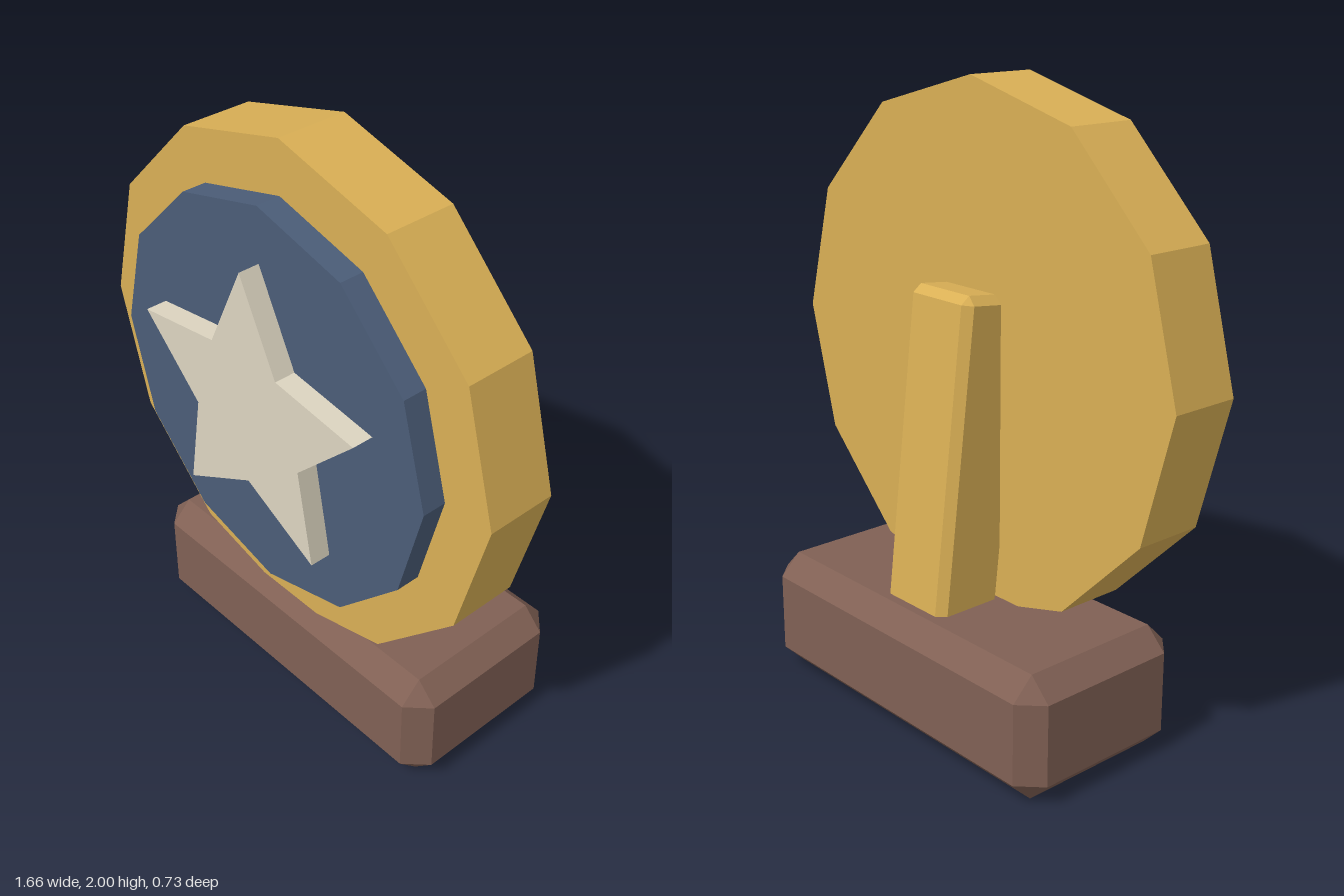
import * as THREE from 'three';
import { ConvexGeometry } from 'three/addons/geometries/ConvexGeometry.js';

const material = (name, color) => {
  const m = new THREE.MeshStandardMaterial({ color, flatShading: true });
  m.name = name;
  return m;
};

// Box with 45 degree chamfers on every edge and cut corners
function chamferBox(w, h, d, c) {
  const half = [w / 2, h / 2, d / 2];
  const points = [];
  for (const sx of [-1, 1]) for (const sy of [-1, 1]) for (const sz of [-1, 1]) {
    const signs = [sx, sy, sz];
    for (let axis = 0; axis < 3; axis++) {
      const p = half.map((v, i) => signs[i] * (i === axis ? v : v - c));
      points.push(new THREE.Vector3(...p));
    }
  }
  return new ConvexGeometry(points);
}

// Twelve-sided disc facing +z, spanning z0 to z1
function disc(radius, z0, z1) {
  const g = new THREE.CylinderGeometry(radius, radius, z1 - z0, 12);
  g.rotateX(Math.PI / 2);
  g.translate(0, 0, (z0 + z1) / 2);
  return g;
}

function starShape(outer, inner) {
  const points = [];
  for (let i = 0; i < 10; i++) {
    const a = Math.PI / 2 + (i * Math.PI) / 5;
    const r = i % 2 ? inner : outer;
    points.push(new THREE.Vector2(r * Math.cos(a), r * Math.sin(a)));
  }
  return new THREE.Shape(points);
}

export function createModel() {
  const gold = material('gold', 0xd9af55);
  const blue = material('slate blue', 0x4b5d78);
  const cream = material('cream', 0xdcd4c0);
  const wood = material('dark wood', 0x806054);

  const group = new THREE.Group();
  group.name = 'starTrophy';
  const add = (name, geometry, mat, x, y, z) => {
    const mesh = new THREE.Mesh(geometry, mat);
    mesh.name = name;
    mesh.position.set(x, y, z);
    group.add(mesh);
    return mesh;
  };

  // Plinth
  add('base', chamferBox(1.285, 0.4, 0.62, 0.07), wood, 0, 0.2, -0.05);

  // Medallion layers
  const cy = 1.17;
  add('medallionRim', disc(0.83, -0.02, 0.215), gold, 0, cy, 0);
  add('medallionFace', disc(0.66, 0.2, 0.295), blue, 0, cy, 0);
  const star = new THREE.ExtrudeGeometry(starShape(0.482, 0.24), { depth: 0.085, bevelEnabled: false });
  add('star', star, cream, 0, cy, 0.28);

  // Leaning rear support
  const strut = add('rearSupport', chamferBox(0.275, 1.15, 0.245, 0.027), gold, 0, 0.8, -0.091);
  strut.rotation.x = 0.114;

  return group;
}
